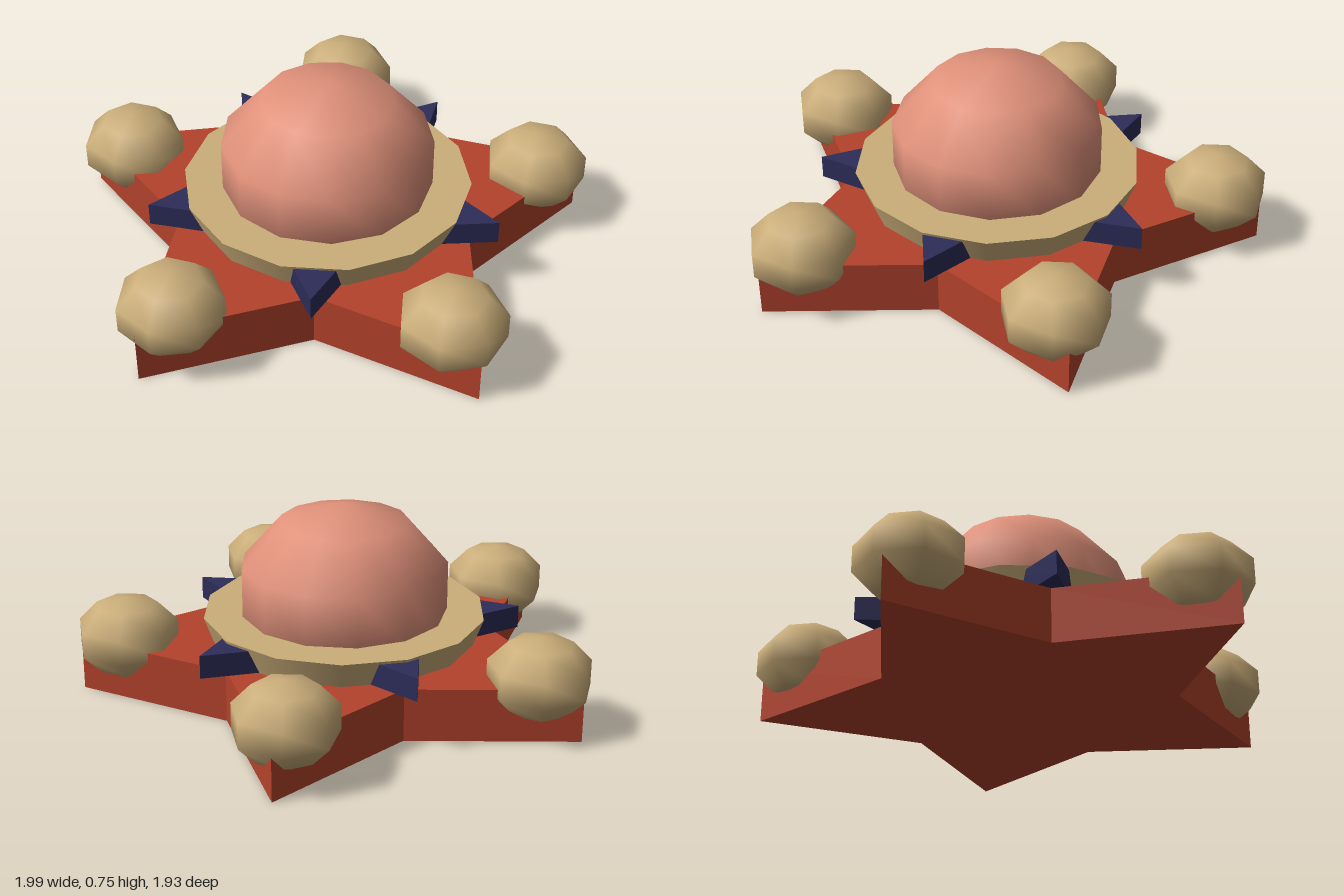
import * as THREE from 'three';

const paint = (name, color) => {
  const m = new THREE.MeshStandardMaterial({ color });
  m.name = name;
  return m;
};

// Upright prism from a plan outline; outline +y points to the back (-z)
function prism(points, y0, y1) {
  const shape = new THREE.Shape(points.map(([x, y]) => new THREE.Vector2(x, y)));
  const geo = new THREE.ExtrudeGeometry(shape, { depth: y1 - y0, bevelEnabled: false });
  return geo.rotateX(-Math.PI / 2).translate(0, y0, 0);
}

// Squashed low-sided ball with one corner pointing to +x
function ball(radius, halfHeight, sides) {
  return new THREE.SphereGeometry(1, sides, 5)
    .rotateY(Math.PI)
    .scale(radius, halfHeight, radius);
}

export function createModel() {
  const red = paint('brick red', 0xb3422c);
  const tan = paint('sand', 0xcbae7a);
  const pink = paint('salmon', 0xe0917a);
  const navy = paint('navy', 0x2c2c58);

  const model = new THREE.Group();
  model.name = 'starOrnament';
  const body = new THREE.Group();
  body.name = 'body';
  body.position.set(-0.01, 0, 0.08);
  model.add(body);

  const add = (name, geo, mat) => {
    const mesh = new THREE.Mesh(geo, mat);
    mesh.name = name;
    body.add(mesh);
    return mesh;
  };

  // Five-pointed base
  const outline = [];
  for (let i = 0; i < 10; i++) {
    const a = Math.PI / 2 + (i * Math.PI) / 5;
    const r = i % 2 ? 0.58 : 1.03;
    outline.push([r * Math.cos(a), r * Math.sin(a)]);
  }
  add('starBase', prism(outline, 0, 0.208), red);

  // Collar, narrowing downwards, and the dome sitting in it
  const collar = new THREE.CylinderGeometry(0.555, 0.515, 0.11, 14).rotateY(Math.PI / 2);
  add('collar', collar, tan).position.y = 0.257;
  add('dome', ball(0.426, 0.35, 13), pink).position.y = 0.395;

  // A ball on each tip and a spike over each notch
  const ballGeo = ball(0.209, 0.158, 7);
  const spikeGeo = prism([[-0.102, 0.485], [0.102, 0.485], [0, 0.695]], 0.209, 0.3);
  for (let i = 0; i < 5; i++) {
    const a = (i * Math.PI * 2) / 5;
    add('tipBall', ballGeo, tan).position.set(-0.85 * Math.sin(a), 0.222, -0.85 * Math.cos(a));
    add('spike', spikeGeo, navy).rotation.y = a + Math.PI / 5;
  }
  return model;
}
